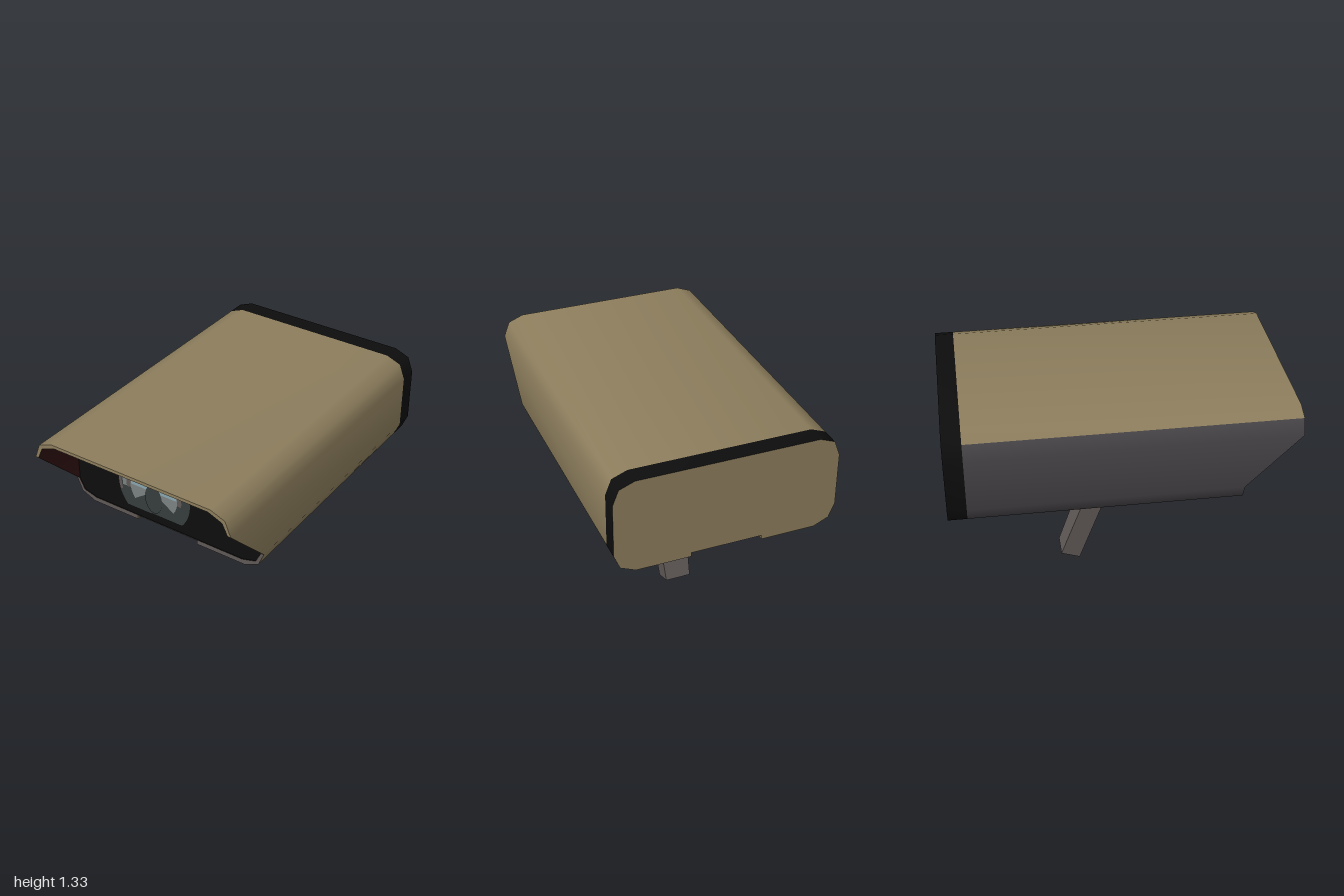
import * as THREE from 'three';
import { toCreasedNormals } from 'three/addons/utils/BufferGeometryUtils.js';

const mat = (name, color, side = THREE.FrontSide) => {
  const m = new THREE.MeshStandardMaterial({ color, side });
  m.name = name;
  return m;
};

export function createModel() {
  const tan = mat('tan paint', 0x8c7d5c);
  const charcoal = mat('charcoal paint', 0x454245);
  const black = mat('black trim', 0x0d0d0d);
  const metal = mat('brown grey metal', 0x5e5755);
  const navy = mat('navy paint', 0x202c3c);
  const darkGlass = mat('dark glass', 0x363d3d);
  const blueGlass = mat('pale blue glass', 0x88a4ae);
  const greyGlass = mat('grey glass', 0x7a8080);
  const darkRed = mat('dark red lining', 0x2e1010);

  const model = new THREE.Group();
  const add = (name, geometry, material, parent = model) => {
    const mesh = new THREE.Mesh(geometry, material);
    mesh.name = name;
    parent.add(mesh);
    return mesh;
  };
  const toShape = pts => new THREE.Shape(pts.map(p => new THREE.Vector2(p[0], p[1])));

  // Housing section, counter-clockwise seen from the front, with a groove underneath
  const rightHalf = [[0.21, 0.785], [0.21, 0.76], [0.53, 0.76], [0.62, 0.8],
    [0.655, 0.885], [0.655, 1.21], [0.62, 1.3], [0.53, 1.335]];
  const mirrored = rightHalf.map(([x, y]) => [-x, y]).reverse();
  const outer = [...rightHalf, ...mirrored];
  const inner = outer.map(([x, y]) => [
    Math.abs(x) < 0.3 ? x : x * 0.97,
    y < 0.79 ? 0.79 : y < 0.85 ? y + 0.015 : y > 1.25 ? y - 0.02 : y,
  ]);

  // The hood is cut back along a slope towards the bottom
  const frontZ = y => 0.68 + 0.32 * THREE.MathUtils.clamp((y - 0.885) / 0.325, 0, 1);
  const panelZ = 0.68;
  const bandZ = -0.89;

  // Collects quads per material and joins them into one geometry
  function quadBuilder() {
    const sets = new Map();
    return {
      quad(m, a, b, c, d) {
        if (!sets.has(m)) sets.set(m, []);
        sets.get(m).push(...a, ...b, ...c, ...a, ...c, ...d);
      },
      mesh(name, crease) {
        const geometry = new THREE.BufferGeometry();
        const all = [];
        [...sets.values()].forEach((v, i) => {
          geometry.addGroup(all.length / 3, v.length / 3, i);
          for (const n of v) all.push(n);
        });
        geometry.setAttribute('position', new THREE.Float32BufferAttribute(all, 3));
        return add(name, toCreasedNormals(geometry, crease), [...sets.keys()]);
      },
    };
  }

  const shell = quadBuilder();
  const rim = quadBuilder();
  const lining = quadBuilder();
  outer.forEach((a, i) => {
    const j = (i + 1) % outer.length;
    const b = outer[j], p = inner[i], q = inner[j];
    const isBottom = a[1] < 0.81 && b[1] < 0.81;
    const isDarkSide = a[0] < -0.61 && b[0] < -0.61 && Math.max(a[1], b[1]) > 0.86;
    const strip = (m, z0, za, zb) =>
      shell.quad(m, [...a, z0], [...b, z0], [...b, zb], [...a, za]);
    strip(isBottom ? tan : black, -1, bandZ, bandZ);
    strip(isDarkSide ? charcoal : tan, bandZ, frontZ(a[1]), frontZ(b[1]));

    const fa = frontZ(a[1]), fb = frontZ(b[1]);
    rim.quad(Math.max(a[1], b[1]) < 0.9 ? metal : tan,
      [...a, fa], [...b, fb], [...q, fb], [...p, fa]);
    lining.quad(isDarkSide ? darkRed : black,
      [...q, panelZ - 0.01], [...p, panelZ - 0.01], [...p, fa], [...q, fb]);
  });
  shell.mesh('housingShell', 0.9);
  rim.mesh('hoodRim', 0.3);
  lining.mesh('hoodLining', 0.9);

  add('backPlate', new THREE.ShapeGeometry(toShape(outer.map(([x, y]) => [-x, y]).reverse())), tan)
    .rotation.y = Math.PI;
  model.getObjectByName('backPlate').position.z = -1;
  const panelPts = inner.filter(([x]) => Math.abs(x) > 0.3);
  add('frontPanel', new THREE.ShapeGeometry(toShape(panelPts)), black).position.z = panelZ - 0.005;

  // Dark strip along one side of the mounting groove
  add('grooveStrip', new THREE.BoxGeometry(0.08, 0.006, 1.66), charcoal).position.set(-0.169, 0.784, -0.16);

  // Lens: thin layers of glass and reflections, flat along the bottom
  const lens = new THREE.Group();
  lens.name = 'lens';
  lens.position.set(-0.085, 1.003, panelZ);
  model.add(lens);
  const cut = Math.asin(0.16 / 0.25);
  const disc = new THREE.Shape();
  disc.absarc(0, 0, 0.25, -cut, Math.PI + cut, false);
  add('lensGlass', new THREE.ShapeGeometry(disc, 32), darkGlass, lens);
  const arc = (name, r0, r1, from, to, m, z) => {
    const d = Math.PI / 180;
    add(name, new THREE.RingGeometry(r0, r1, 28, 1, from * d, (to - from) * d), m, lens).position.z = z;
  };
  arc('lensRing', 0.228, 0.25, 15, 195, metal, 0.002);
  arc('outerReflection', 0.193, 0.22, 35, 150, blueGlass, 0.002);
  arc('sideReflection', 0.193, 0.22, 150, 188, greyGlass, 0.002);
  arc('innerRing', 0.165, 0.193, -10, 190, metal, 0.002);
  arc('innerGlow', 0, 0.165, -35, 215, greyGlass, 0.002);
  arc('innerReflection', 0, 0.16, 0, 180, blueGlass, 0.004);
  const pupil = add('pupil', new THREE.CircleGeometry(0.06, 20), darkGlass, lens);
  pupil.scale.y = 1.6;
  pupil.position.set(0, -0.05, 0.006);
  const glint = add('panelGlint', new THREE.CircleGeometry(0.065, 16), darkGlass);
  glint.scale.y = 0.2;
  glint.position.set(0.085, 1.26, panelZ + 0.001);

  // Side profiles given as [z, y], extruded across x
  const slab = (pts, width) => {
    const g = new THREE.ExtrudeGeometry(toShape(pts.map(([z, y]) => [-z, y])),
      { depth: width, bevelEnabled: false });
    return g.translate(0, 0, -width / 2).rotateY(Math.PI / 2);
  };

  // Bracket ears with their bolts
  const ear = [[0.1, 0.79], [0.07, 0.66], [0, 0.585], [-0.115, 0.555],
    [-0.215, 0.585], [-0.3, 0.66], [-0.325, 0.79]];
  for (const [side, s] of [['left', 1], ['right', -1]]) {
    add(side + 'BracketEar', toCreasedNormals(slab(ear, 0.1), 0.6), metal).position.x = s * 0.157;
    const bolt = (name, r, w, x, m) => {
      const g = new THREE.CylinderGeometry(r, r, w, 8).rotateY(Math.PI / 8).rotateZ(Math.PI / 2);
      add(side + name, toCreasedNormals(g, 0.3), m).position.set(s * x, 0.68, -0.115);
    };
    bolt('Bolt', 0.058, 0.05, 0.225, black);
    bolt('BoltCap', 0.056, 0.006, 0.251, darkGlass);
  }

  // Knuckle between the ears
  const knuckle = [[0.04, 0.65], [0.033, 0.555], [-0.04, 0.465], [-0.16, 0.505], [-0.23, 0.58],
    [-0.26, 0.68], [-0.2, 0.75], [-0.115, 0.77], [-0.03, 0.74]];
  add('knuckle', toCreasedNormals(slab(knuckle, 0.19), 0.9), metal);

  // Leaning arm, tapering downwards; t runs from the top (0) to the foot (1)
  const arm = new THREE.Group();
  arm.name = 'arm';
  arm.position.set(0, 0.487, -0.1);
  arm.rotation.x = 0.338;
  model.add(arm);
  const armLength = 0.492;
  const armPiece = (name, t0, t1, material) => {
    const g = new THREE.BoxGeometry(2, armLength * (t1 - t0), 0.122);
    g.translate(0, -armLength * (t0 + t1) / 2, 0);
    const pos = g.attributes.position;
    for (let i = 0; i < pos.count; i++) {
      pos.setX(i, pos.getX(i) * (0.098 + 0.02 * pos.getY(i) / armLength));
    }
    g.computeVertexNormals();
    add(name, g, material, arm);
  };
  armPiece('armCollar', 0, 0.13, navy);
  armPiece('armUpper', 0.13, 0.475, [metal, metal, metal, metal, navy, metal]);
  armPiece('armLower', 0.475, 1, metal);

  return model;
}
